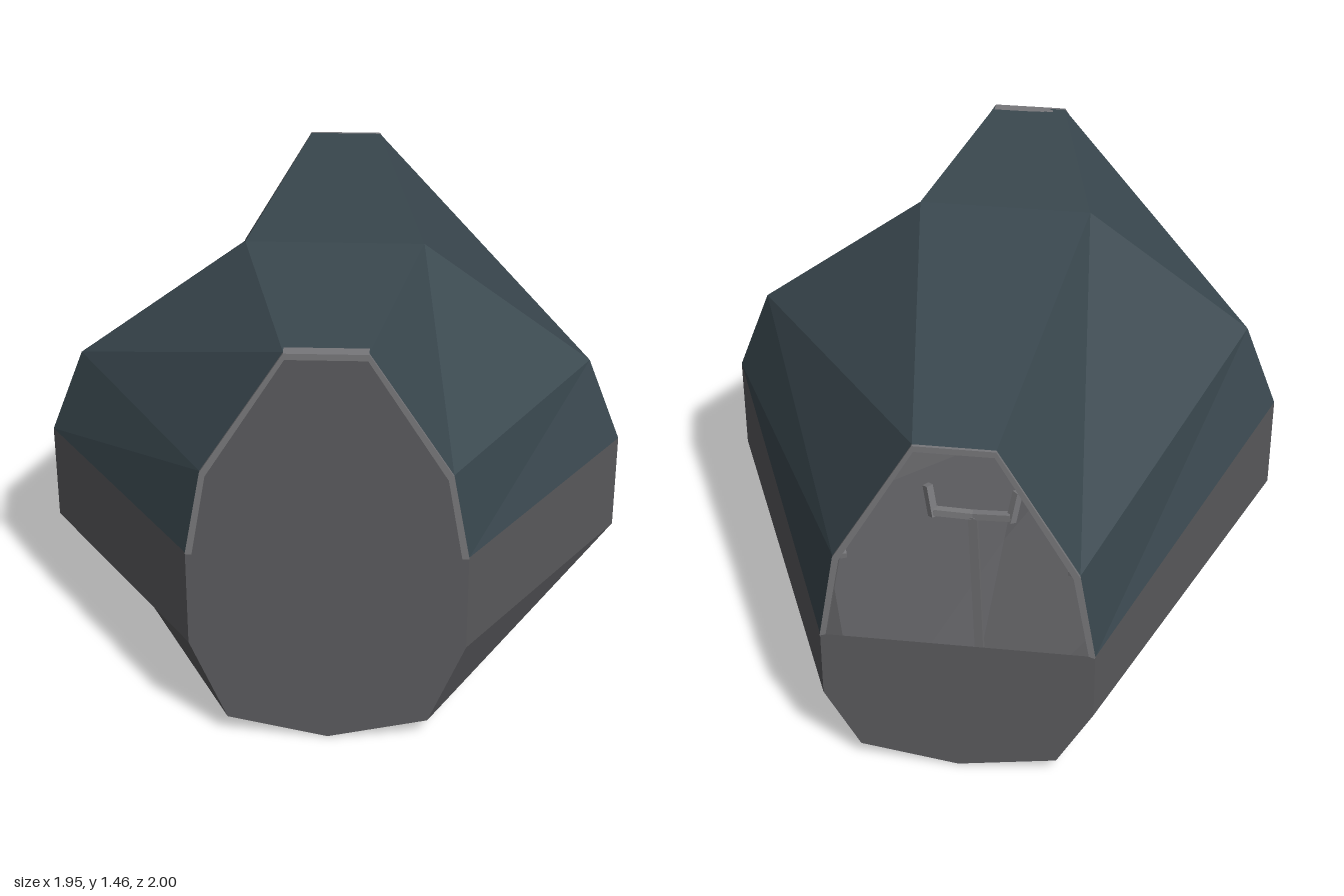
import * as THREE from 'three';

const hullMat = new THREE.MeshStandardMaterial({ color: 0x5a5a5d, flatShading: true, side: THREE.DoubleSide });
const canopyMat = new THREE.MeshStandardMaterial({ color: 0x3a484f, flatShading: true, side: THREE.DoubleSide });
const frameMat = new THREE.MeshStandardMaterial({ color: 0x77777a, flatShading: true });

// Right half of each cross-section, from the keel up to the roof edge
const END_X = [0, 0.33, 0.45, 0.45, 0.395, 0.13];
const MID_X = [0, 0.71, 0.975, 0.975, 0.86, 0.295];
const HIGH = [0, 0.075, 0.375, 0.725, 1.03, 1.455];
const LOW = [0, 0.055, 0.272, 0.525, 0.855, 1.315];
const STATIONS = [
  { z: -0.99, x: END_X, y: LOW },
  { z: 0.24, x: MID_X, y: HIGH },
  { z: 0.99, x: END_X, y: HIGH },
];

const pt = (s, i, side) => new THREE.Vector3(side * s.x[i], s.y[i], s.z);
// Both run counter-clockwise as seen from the front
const canopyRing = (s) => [pt(s, 3, 1), pt(s, 4, 1), pt(s, 5, 1), pt(s, 5, -1), pt(s, 4, -1), pt(s, 3, -1)];
const hullRing = (s) => [pt(s, 3, -1), pt(s, 2, -1), pt(s, 1, -1), pt(s, 0, 1), pt(s, 1, 1), pt(s, 2, 1), pt(s, 3, 1)];

function surface(name, triangles, material) {
  const geo = new THREE.BufferGeometry().setFromPoints(triangles);
  geo.computeVertexNormals();
  const mesh = new THREE.Mesh(geo, material);
  mesh.name = name;
  return mesh;
}

// Faceted skin through consecutive open rings
function loft(rings) {
  const tris = [];
  for (let j = 0; j < rings.length - 1; j++) {
    const a = rings[j], b = rings[j + 1];
    for (let i = 0; i < a.length - 1; i++) {
      tris.push(a[i], a[i + 1], b[i], a[i + 1], b[i + 1], b[i]);
    }
  }
  return tris;
}

// Flat end plate as a fan
function fan(points, flip) {
  const tris = [];
  for (let i = 1; i < points.length - 1; i++) {
    tris.push(points[0], points[flip ? i + 1 : i], points[flip ? i : i + 1]);
  }
  return tris;
}

// Square beam between two points
function beam(name, a, b, width, depth = width) {
  const mesh = new THREE.Mesh(new THREE.BoxGeometry(width, depth, a.distanceTo(b)), frameMat);
  mesh.position.copy(a).add(b).multiplyScalar(0.5);
  mesh.lookAt(b);
  mesh.name = name;
  return mesh;
}

// Ring pulled inwards so that beams lie just under the skin
function inset(ring, d, z) {
  return ring.map((p) => {
    const out = new THREE.Vector2(p.x, p.y - 0.7).normalize();
    return new THREE.Vector3(p.x - out.x * d, p.y - out.y * d, z);
  });
}

export function createModel() {
  const model = new THREE.Group();
  const [back, mid, front] = STATIONS;

  // Lower hull and faceted canopy skin
  model.add(surface('hull', loft(STATIONS.map(hullRing)), hullMat));
  model.add(surface('canopy', loft(STATIONS.map(canopyRing)), canopyMat));

  // Full bulkhead in front, half-height one at the back
  const plate = [...hullRing(front), ...canopyRing(front).slice(1, -1)];
  model.add(surface('frontBulkhead', fan(plate, false), hullMat));
  model.add(surface('backBulkhead', fan(hullRing(back), true), hullMat));

  // Rims at both open ends of the canopy
  for (const [name, s, sign] of [['frontRim', front, 1], ['backRim', back, -1]]) {
    const rim = new THREE.Group();
    rim.name = name;
    const outer = canopyRing(s), inner = inset(outer, 0.022, s.z);
    const at = (ring, z) => ring.map((p) => new THREE.Vector3(p.x, p.y, z));
    const face = sign, root = sign * 0.96;
    rim.add(surface('rimBand', loft([
      at(outer, root), at(outer, face), at(inner, face), at(inner, root),
    ]), Object.assign(frameMat.clone(), { side: THREE.DoubleSide })));
    model.add(rim);
  }

  // Ribs under the canopy: middle hoop and lengthwise stringers
  const ribs = new THREE.Group();
  ribs.name = 'canopyRibs';
  const hoops = STATIONS.map((s) => inset(canopyRing(s), 0.035, s.z * 0.98));
  for (let i = 0; i < 5; i++) ribs.add(beam('hoopRib', hoops[1][i], hoops[1][i + 1], 0.025));
  for (let i = 1; i < 5; i++) {
    for (let j = 0; j < 2; j++) ribs.add(beam('stringer', hoops[j][i], hoops[j + 1][i], 0.02));
  }
  model.add(ribs);

  // Small control yoke inside
  const yoke = new THREE.Group();
  yoke.name = 'controlYoke';
  const v = (x, y, z) => new THREE.Vector3(x, y, z);
  yoke.add(beam('column', v(0, 0.03, -0.45), v(0, 0.76, -0.6), 0.03));
  for (const side of [1, -1]) {
    yoke.add(beam('arm', v(0, 0.76, -0.6), v(side * 0.13, 0.78, -0.62), 0.025));
    yoke.add(beam('grip', v(side * 0.13, 0.76, -0.62), v(side * 0.15, 0.87, -0.6), 0.025));
  }
  model.add(yoke);

  return model;
}
